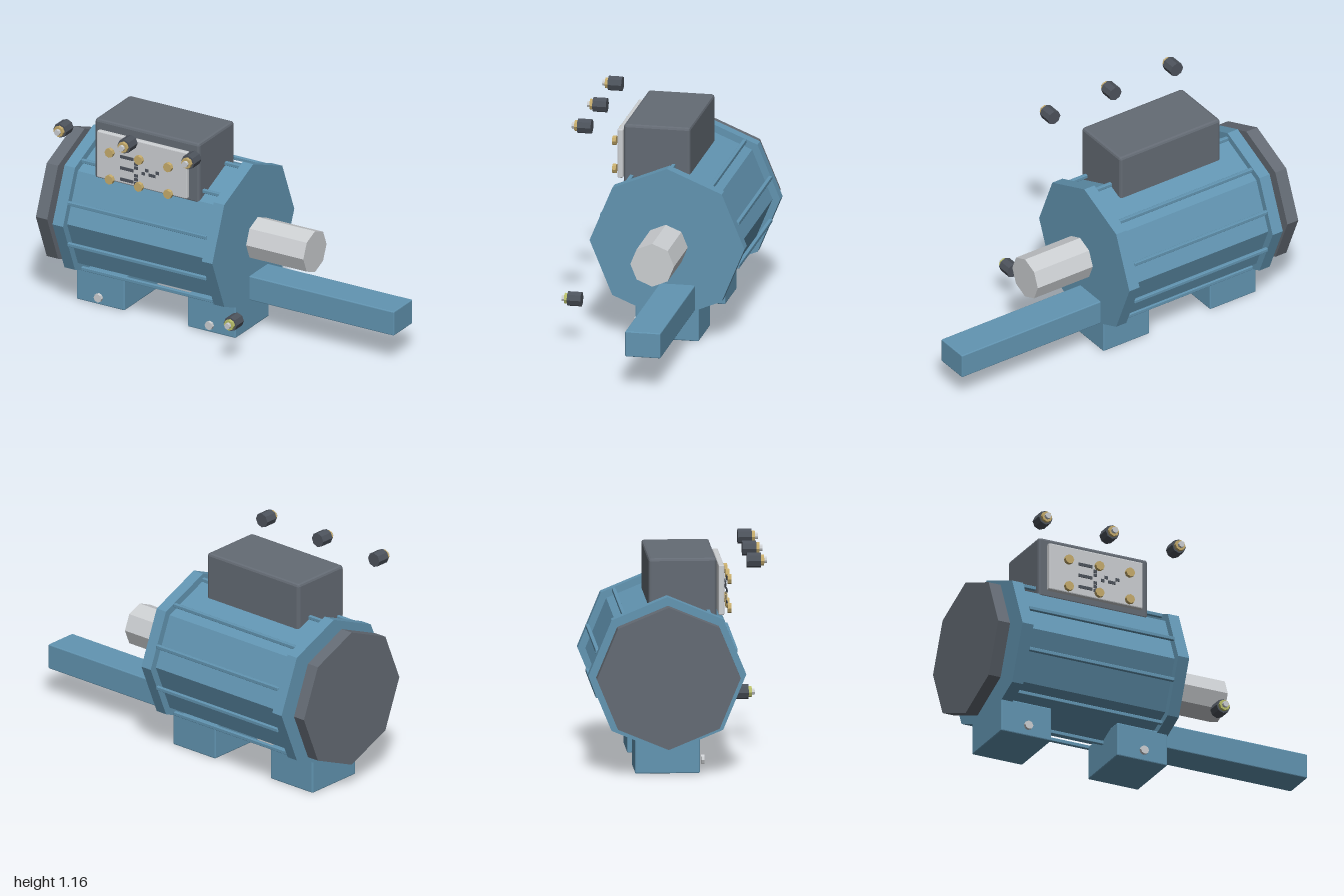
import * as THREE from 'three';
import { RoundedBoxGeometry } from 'three/addons/geometries/RoundedBoxGeometry.js';

const paint = (color) => new THREE.MeshStandardMaterial({ color, flatShading: true });

export function createModel() {
  const model = new THREE.Group();
  const blue = paint(0x6295b2), dark = paint(0x646b74), steel = paint(0xcccfd2);
  const brass = paint(0xc6ac6c), black = paint(0x4d535c), olive = paint(0xb9bf6a);
  const axisY = 0.525, axisZ = -0.057;

  const add = (name, geometry, material, parent = model) => {
    const mesh = new THREE.Mesh(geometry, material);
    mesh.name = name;
    parent.add(mesh);
    return mesh;
  };

  // Box given by its limits, with small chamfers
  const block = (name, x0, x1, y0, y1, z0, z1, bevel, material, parent) => {
    const g = new RoundedBoxGeometry(x1 - x0, y1 - y0, z1 - z0, 1, bevel);
    g.translate((x0 + x1) / 2, (y0 + y1) / 2, (z0 + z1) / 2);
    return add(name, g, material, parent);
  };

  // Eight-sided drum along the motor axis
  const drum = (name, x0, x1, radius, material) => {
    const g = new THREE.CylinderGeometry(radius, radius, x1 - x0, 8);
    g.rotateZ(Math.PI / 2).translate((x0 + x1) / 2, axisY, axisZ);
    return add(name, g, material);
  };

  // Eight-sided stud pointing forward
  const stud = (name, x, y, z0, z1, radius, material, parent) => {
    const g = new THREE.CylinderGeometry(radius, radius, z1 - z0, 8);
    g.rotateX(Math.PI / 2).translate(x, y, (z0 + z1) / 2);
    return add(name, g, material, parent);
  };

  // Motor housing, end flanges, rear cover and shaft
  drum('housing', -0.81, 0.045, 0.376, blue);
  drum('rearFlange', -0.875, -0.81, 0.417, blue);
  drum('frontFlange', 0.045, 0.11, 0.417, blue);
  drum('fanCover', -1, -0.93, 0.38, dark);
  drum('shaft', 0.137, 0.49, 0.118, steel);

  // Cooling ribs spaced around the housing
  const ribs = new THREE.Group();
  ribs.name = 'coolingRibs';
  model.add(ribs);
  for (let i = 0; i < 10; i++) {
    const a = (i * Math.PI) / 5 + Math.PI / 2;
    const y = axisY + 0.384 * Math.sin(a), z = axisZ + 0.384 * Math.cos(a);
    block('rib', -0.81, 0.045, y - 0.01, y + 0.01, z - 0.01, z + 0.01, 0.003, blue, ribs);
  }

  // Feet with their bolts
  for (const [x0, boltX] of [[-0.875, -0.727], [-0.19, -0.043]]) {
    block('foot', x0, x0 + 0.295, 0, 0.19, -0.227, 0.115, 0.006, blue);
    stud('footBolt', boltX, 0.05, 0.13, 0.147, 0.024, steel);
  }

  // Side arm
  block('arm', 0.1, 1, 0.172, 0.31, -0.208, -0.017, 0.005, blue);

  // Terminal box with its cover plate
  block('terminalBox', -0.705, -0.06, 0.775, 1.12, -0.145, 0.213, 0.014, dark);
  block('coverPlate', -0.665, -0.11, 0.808, 1.076, 0.227, 0.257, 0.006, steel);
  for (const x of [-0.565, -0.385, -0.205]) {
    for (const y of [0.83, 0.985]) stud('plateScrew', x, y, 0.28, 0.3, 0.026, brass);
  }

  // Thin strips and dots in front of the plate
  const marks = new THREE.Group();
  marks.name = 'plateMarks';
  model.add(marks);
  const mark = (x, y, width) =>
    add('mark', new THREE.BoxGeometry(width, 0.017, 0.004).translate(x, y, 0.283), black, marks);
  for (const y of [0.845, 0.91, 0.975]) mark(-0.464, y, 0.08);
  for (const y of [0.84, 0.863, 0.885, 0.93, 0.952]) mark(-0.407, y, 0.02);
  [-0.362, -0.341, -0.319, -0.297, -0.275].forEach((x, i) => mark(x, i % 3 === 1 ? 0.93 : 0.908, 0.02));

  // Cable glands
  for (const [x, y, collar] of [[-0.78, 1.12, brass], [-0.385, 1.12, brass], [0.008, 1.12, brass], [0.27, 0.246, olive]]) {
    const gland = new THREE.Group();
    gland.name = 'cableGland';
    model.add(gland);
    stud('glandBody', x, y, 0.368, 0.442, 0.04, black, gland);
    stud('glandCollar', x, y, 0.442, 0.459, 0.03, collar, gland);
    stud('glandTip', x, y, 0.459, 0.475, 0.017, steel, gland);
  }

  return model;
}
